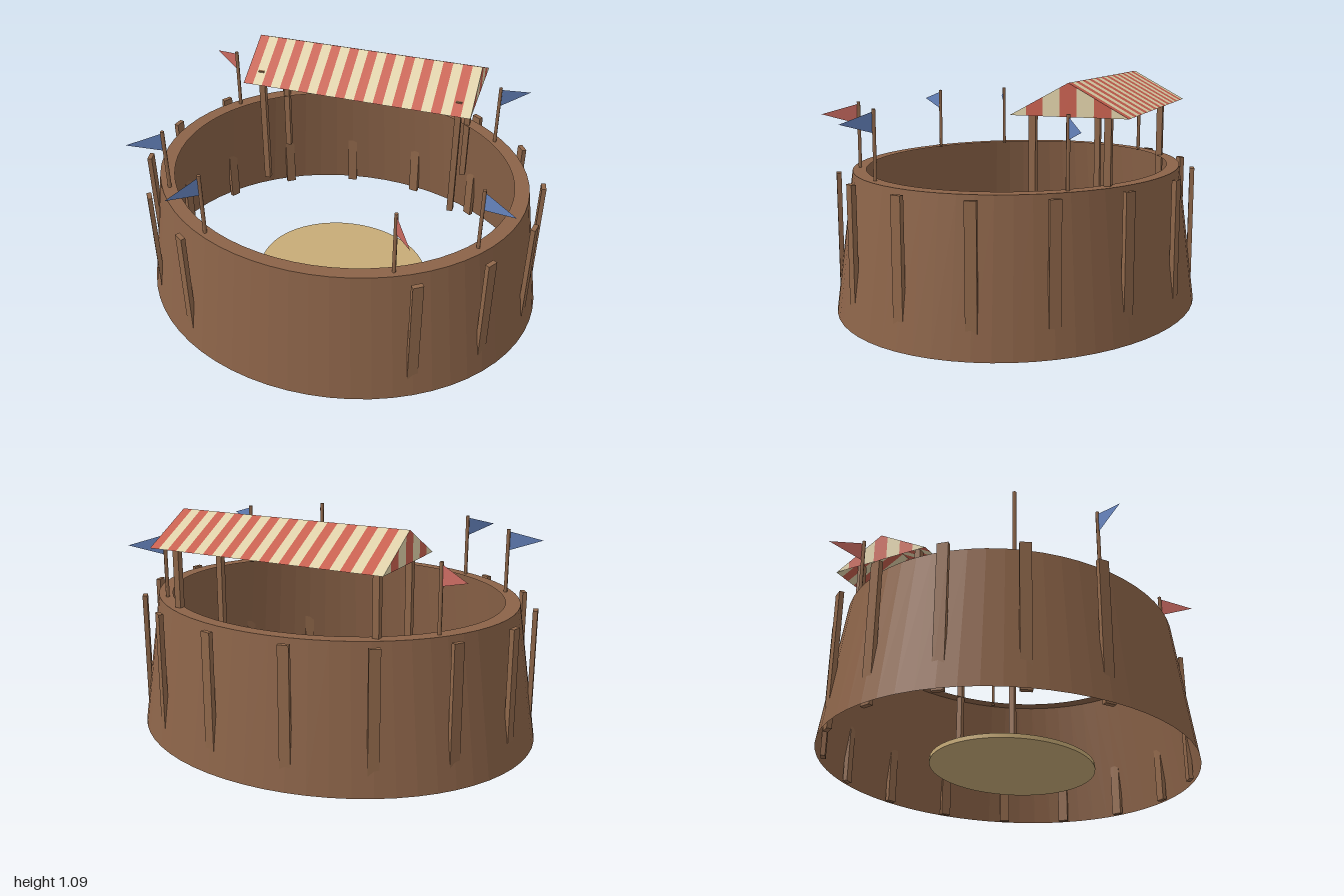
import * as THREE from 'three';

const mat = (name, color, extra = {}) => {
  const m = new THREE.MeshStandardMaterial({ color, ...extra });
  m.name = name;
  return m;
};
const both = { side: THREE.DoubleSide };

export function createModel() {
  const model = new THREE.Group();
  model.name = 'arena';

  const wood = mat('wallWood', 0x8b6348, { ...both, flatShading: true });
  const timber = mat('postTimber', 0x8f674a);
  const sandMat = mat('sand', 0xc7ab77);
  const red = mat('stripeRed', 0xc75f4e, both);
  const cream = mat('stripeCream', 0xded0a8, both);
  const blueFlag = mat('flagBlue', 0x6684be, both);
  const redFlag = mat('flagRed', 0xc96a61, both);

  const add = (parent, name, geo, material, x = 0, y = 0, z = 0) => {
    const mesh = new THREE.Mesh(geo, material);
    mesh.name = name;
    mesh.position.set(x, y, z);
    parent.add(mesh);
    return mesh;
  };

  // Oval ground plan: every round part is squashed in z
  const OVAL = 0.855, WALL_H = 0.66;

  // Sloping wall skin and flat rim
  add(model, 'wall', new THREE.CylinderGeometry(0.9, 1, WALL_H, 64, 1, true).scale(1, 1, OVAL), wood, 0, WALL_H / 2);
  add(model, 'rim', new THREE.RingGeometry(0.83, 0.9, 64).rotateX(-Math.PI / 2).scale(1, 1, OVAL), wood, 0, WALL_H);

  // Sand floor
  add(model, 'sandFloor', new THREE.CylinderGeometry(0.44, 0.44, 0.02, 48).scale(1, 1, 0.85), sandMat, 0, 0.01);

  // Buttress posts around the wall, with a gap at the front
  const postGeo = new THREE.BoxGeometry(0.022, 0.65, 0.05);
  for (let i = 0; i < 16; i++) {
    if (i === 3 || i === 4) continue;
    const a = (i + 0.5) * Math.PI / 8;
    const post = add(model, 'wallPost', postGeo, timber, 0.97 * Math.cos(a), 0.325, 0.97 * OVAL * Math.sin(a));
    post.rotation.y = -a;
  }

  // Flag poles on the rim, pennants pointing outwards
  const poleGeo = new THREE.CylinderGeometry(0.009, 0.009, 0.32, 6);
  const pennant = new THREE.ShapeGeometry(new THREE.Shape([
    new THREE.Vector2(0, 0.865), new THREE.Vector2(0.17, 0.914), new THREE.Vector2(0, 0.96),
  ]));
  const flags = [
    [0.735, 0.383, blueFlag], [0.425, 0.643, redFlag], [-0.44, 0.64, blueFlag],
    [-0.74, 0.378, blueFlag], [-0.71, -0.425, redFlag], [0.665, -0.465, blueFlag],
  ];
  for (const [x, z, colour] of flags) {
    add(model, 'flagPole', poleGeo, timber, x, 0.81, z);
    add(model, 'pennant', pennant, colour, x, 0, z).rotation.y = -Math.atan2(z, x);
  }

  // Striped canopy over the back of the ring
  const canopy = new THREE.Group();
  canopy.name = 'canopy';
  canopy.position.set(0, 0.948, -0.432);
  model.add(canopy);
  const HALF_X = 0.57, HALF_Z = 0.257, RISE = 0.14, STRIPES = 24;
  const slope = Math.atan2(RISE, HALF_Z);
  const stripeW = 2 * HALF_X / STRIPES;
  const stripeGeo = new THREE.PlaneGeometry(stripeW, Math.hypot(RISE, HALF_Z)).rotateX(slope - Math.PI / 2);
  for (const turn of [0, Math.PI]) {
    const side = new THREE.Group();
    side.name = turn ? 'backSlope' : 'frontSlope';
    side.rotation.y = turn;
    canopy.add(side);
    for (let i = 0; i < STRIPES; i++) {
      add(side, 'roofStripe', stripeGeo, i % 2 ? cream : red,
        -HALF_X + (i + 0.5) * stripeW, RISE / 2, HALF_Z / 2);
    }
  }

  // Striped gable ends, each strip cut off under the roof line
  const roofY = (u) => RISE * (1 - Math.abs(u) / HALF_Z);
  const gableW = 2 * HALF_Z / 7;
  for (const s of [1, -1]) {
    const gable = new THREE.Group();
    gable.name = 'gable';
    gable.position.x = s * HALF_X;
    gable.rotation.y = s * Math.PI / 2;
    canopy.add(gable);
    for (let i = 0; i < 7; i++) {
      const u0 = -HALF_Z + i * gableW, u1 = u0 + gableW;
      const shape = new THREE.Shape();
      shape.moveTo(u0, 0);
      shape.lineTo(u1, 0);
      if (i < 6) shape.lineTo(u1, roofY(u1));
      if (i === 3) shape.lineTo(0, RISE);
      if (i > 0) shape.lineTo(u0, roofY(u0));
      add(gable, 'gableStripe', new THREE.ShapeGeometry(shape), i % 2 ? red : cream);
    }
  }

  // Canopy supports
  const supportGeo = new THREE.BoxGeometry(0.03, 0.65, 0.03);
  for (const x of [-0.5, 0.5]) {
    for (const z of [-0.255, -0.587]) add(model, 'canopySupport', supportGeo, timber, x, 0.665, z);
  }

  return model;
}
